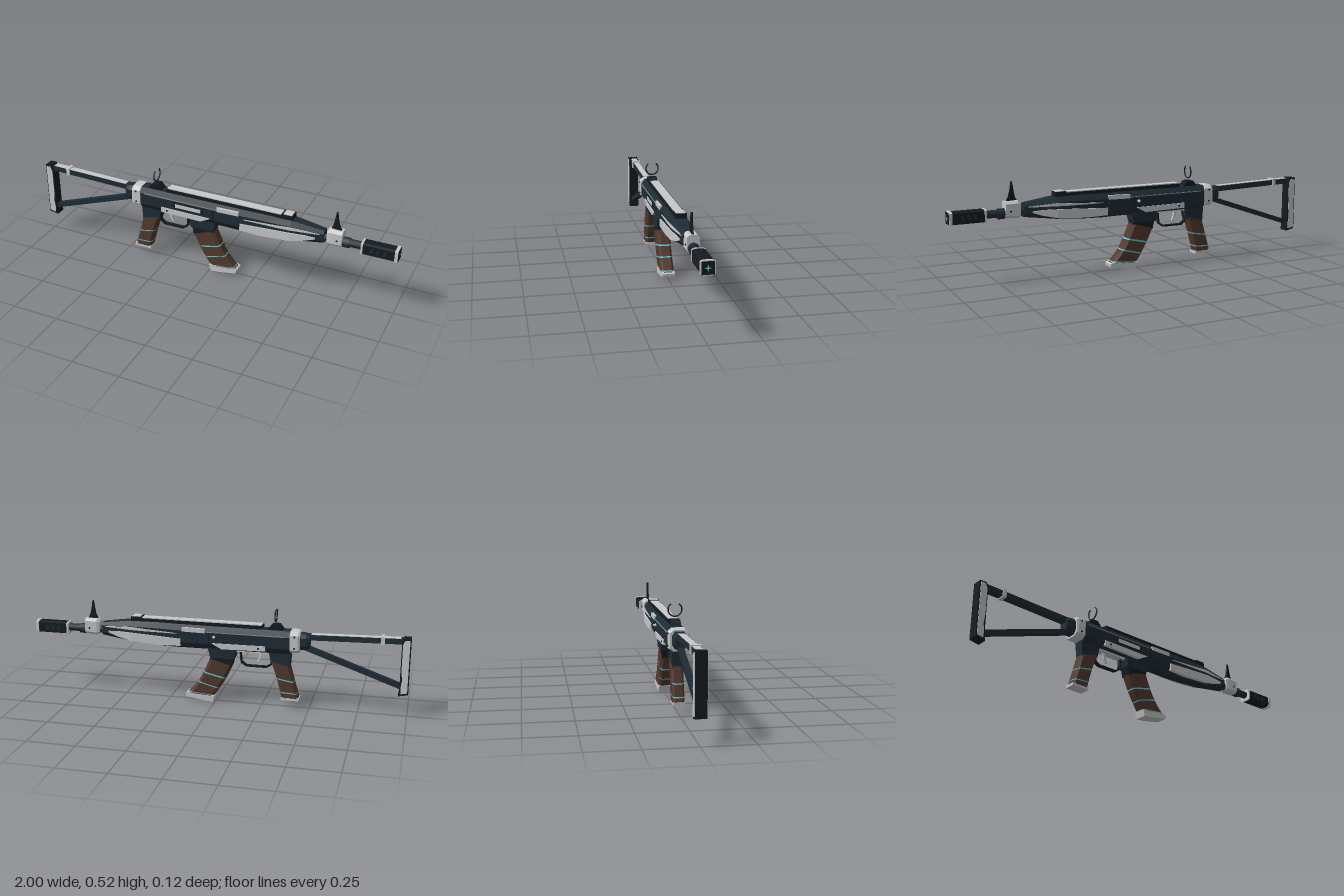
import * as THREE from 'three';

const mat = (name, color, side = THREE.FrontSide) => {
  const m = new THREE.MeshStandardMaterial({ color, side });
  m.name = name;
  return m;
};

export function createModel() {
  const navy = mat('navy metal', 0x1f2c35), black = mat('black metal', 0x141b20);
  const silver = mat('silver', 0xc6c8cb), grey = mat('grey line', 0x84898d);
  const brown = mat('brown wrap', 0x54392f), cyan = mat('cyan glow', 0x58d6da, THREE.DoubleSide);

  const model = new THREE.Group();
  model.name = 'rifle';
  model.position.z = 0.003;

  const add = (name, geo, material, x = 0, y = 0, z = 0) => {
    const m = new THREE.Mesh(geo, material);
    m.name = name;
    m.position.set(x, y, z);
    model.add(m);
    return m;
  };
  // box from its limits, centred on z unless given
  const box = (name, material, x0, x1, y0, y1, hw, z = 0) =>
    add(name, new THREE.BoxGeometry(x1 - x0, y1 - y0, hw * 2), material, (x0 + x1) / 2, (y0 + y1) / 2, z);
  // bar between two side-view points
  const bar = (name, material, a, b, h, hw) => {
    const dx = b[0] - a[0], dy = b[1] - a[1];
    const m = add(name, new THREE.BoxGeometry(Math.hypot(dx, dy), h, hw * 2), material, (a[0] + b[0]) / 2, (a[1] + b[1]) / 2);
    m.rotation.z = Math.atan2(dy, dx);
    return m;
  };
  // side-view outline extruded across z
  const plate = (name, material, pts, hw, z = 0) => {
    const geo = new THREE.ExtrudeGeometry(new THREE.Shape(pts.map(p => new THREE.Vector2(...p))), { depth: hw * 2, bevelEnabled: false });
    return add(name, geo.translate(0, 0, -hw), material, 0, 0, z);
  };
  // closed flat-faced skin through matching convex rings
  const loft = (name, material, rings) => {
    const tris = [], n = rings[0].length, last = rings.length - 1;
    for (let i = 0; i < last; i++) for (let j = 0; j < n; j++) {
      const k = (j + 1) % n, a = rings[i][j], b = rings[i][k], c = rings[i + 1][k], d = rings[i + 1][j];
      tris.push([a, b, c], [a, c, d]);
    }
    for (let j = 1; j < n - 1; j++) {
      tris.push([rings[0][0], rings[0][j + 1], rings[0][j]]);
      tris.push([rings[last][0], rings[last][j], rings[last][j + 1]]);
    }
    const v = p => new THREE.Vector3(...p);
    const volume = tris.reduce((s, [a, b, c]) => s + v(a).dot(v(b).cross(v(c))), 0);
    const pos = tris.flatMap(t => (volume < 0 ? [t[0], t[2], t[1]] : t)).flat();
    const geo = new THREE.BufferGeometry();
    geo.setAttribute('position', new THREE.Float32BufferAttribute(pos, 3));
    geo.computeVertexNormals();
    return add(name, geo, material);
  };
  // eight-sided cross-section at x
  const section = ([x, y0, y1, hw, cut = 0.24]) => {
    const c = (y1 - y0) * cut, t = hw * 0.6;
    return [[x, y0, t], [x, y0 + c, hw], [x, y1 - c, hw], [x, y1, t], [x, y1, -t], [x, y1 - c, -hw], [x, y0 + c, -hw], [x, y0, -t]];
  };
  // matching side panels from [x, low, high] stations
  const panels = (name, material, stations, width, out = 0.004) => {
    for (const s of [1, -1]) loft(name, material, stations.map(([x, lo, hi]) => {
      const w = width(x);
      return [[x, lo, s * (w - 0.015)], [x, lo, s * (w + out)], [x, hi, s * (w + out)], [x, hi, s * (w - 0.015)]];
    }));
  };

  // stock
  plate('buttPlate', black, [[-1, 0.125], [-0.95, 0.115], [-0.955, 0.15], [-0.955, 0.395], [-0.965, 0.418], [-1, 0.418]], 0.027);
  for (const s of [1, -1])
    plate('buttSide', silver, [[-0.995, 0.135], [-0.962, 0.128], [-0.96, 0.16], [-0.966, 0.2], [-0.96, 0.25], [-0.96, 0.385], [-0.97, 0.41], [-0.995, 0.41]], 0.002, s * 0.028);
  bar('upperStrut', navy, [-0.96, 0.401], [-0.47, 0.389], 0.028, 0.019);
  bar('upperStrutCover', silver, [-0.95, 0.413], [-0.5, 0.402], 0.008, 0.016);
  box('strutCollar', silver, -0.87, -0.85, 0.38, 0.42, 0.024);
  bar('lowerStrut', navy, [-0.965, 0.16], [-0.45, 0.34], 0.026, 0.014);
  loft('stockJoint', navy, [[-0.495, 0.335, 0.4, 0.028], [-0.475, 0.325, 0.405, 0.034], [-0.44, 0.32, 0.408, 0.036]].map(section));

  // receiver and fore-end
  loft('rearBlock', silver, [[-0.447, 0.312, 0.414, 0.045, 0.15], [-0.437, 0.307, 0.419, 0.05, 0.15], [-0.396, 0.307, 0.419, 0.05, 0.15]].map(section));
  loft('receiver', navy, [[-0.397, 0.297, 0.418, 0.046], [0.175, 0.295, 0.42, 0.048]].map(section));
  loft('foreEnd', navy, [[0.175, 0.293, 0.42, 0.046], [0.3, 0.297, 0.422, 0.046], [0.45, 0.308, 0.42, 0.046], [0.62, 0.33, 0.398, 0.027]].map(section));
  const bodyWidth = () => 0.047;
  const foreWidth = x => (x < 0.45 ? 0.046 : 0.046 - (x - 0.45) * 0.112);
  panels('lowerForePanel', silver, [[0.18, 0.307, 0.345], [0.3, 0.305, 0.352], [0.45, 0.315, 0.36], [0.53, 0.333, 0.361], [0.58, 0.35, 0.357]], foreWidth, 0.006);
  panels('upperForePanel', silver, [[0.2, 0.372, 0.374], [0.38, 0.373, 0.385], [0.45, 0.375, 0.391], [0.55, 0.377, 0.385], [0.6, 0.379, 0.381]], foreWidth);
  panels('lowerReceiverPanel', silver, [[-0.27, 0.309, 0.336], [-0.04, 0.305, 0.334], [0.01, 0.331, 0.334]], bodyWidth, 0.005);
  panels('upperReceiverPanel', silver, [[0.05, 0.384, 0.406], [0.172, 0.386, 0.408]], () => 0.044, 0.006);
  panels('receiverLine', grey, [[-0.37, 0.388, 0.392], [0.05, 0.388, 0.392]], bodyWidth, 0.002);
  panels('frontSeam', black, [[0.026, 0.325, 0.385], [0.032, 0.325, 0.385]], bodyWidth, 0.002);

  // ejection port on the front side, bolt handle on the other
  box('portFrame', black, -0.195, -0.03, 0.347, 0.38, 0.002, 0.049);
  box('portCover', silver, -0.185, -0.04, 0.353, 0.374, 0.002, 0.051);
  const bolt = add('boltHandle', new THREE.CylinderGeometry(0.004, 0.01, 0.02, 8), silver, 0, 0.366, -0.053);
  bolt.rotation.x = -Math.PI / 2;
  for (const s of [1, -1]) for (const [x, y, z] of [[-0.235, 0.322, 0.052], [-0.42, 0.335, 0.05], [-0.42, 0.395, 0.05], [0.69, 0.365, 0.03]])
    add('rivet', new THREE.CylinderGeometry(0.005, 0.005, 0.006, 8), black, x, y, s * z).rotation.x = Math.PI / 2;

  // top rail
  box('railBase', black, -0.25, 0.455, 0.412, 0.436, 0.028);
  box('railTop', silver, -0.245, 0.4, 0.436, 0.441, 0.022);
  box('railEnd', black, 0.395, 0.455, 0.43, 0.443, 0.028);
  box('railEndTop', silver, 0.405, 0.45, 0.443, 0.446, 0.024);

  // rear ring sight, open at the top
  plate('rearSightBase', black, [[-0.36, 0.412], [-0.275, 0.412], [-0.285, 0.43], [-0.3, 0.446], [-0.335, 0.446], [-0.35, 0.43]], 0.024);
  const ring = (name, material, start, arc, thick) => {
    const geo = new THREE.TorusGeometry(0.034, thick, 6, 24, arc).rotateZ(start).rotateY(Math.PI / 2);
    add(name, geo, material, -0.316, 0.494, 0);
  };
  const gap = 0.62;
  ring('rearSightRing', black, Math.PI / 2 + gap, Math.PI * 2 - gap * 2, 0.0035);
  ring('sightTip', cyan, Math.PI / 2 + gap - 0.06, 0.08, 0.0022);
  ring('sightTip', cyan, Math.PI / 2 - gap - 0.02, 0.08, 0.0022);

  // front sight
  loft('frontSightBlock', silver, [[0.635, 0.335, 0.405, 0.024, 0.15], [0.65, 0.328, 0.416, 0.03, 0.15], [0.715, 0.332, 0.414, 0.03, 0.15]].map(section));
  plate('frontSightSpike', black, [[0.648, 0.412], [0.705, 0.412], [0.692, 0.435], [0.683, 0.47], [0.677, 0.51], [0.672, 0.51], [0.666, 0.47], [0.66, 0.435]], 0.005);

  // barrel and muzzle
  add('barrel', new THREE.CylinderGeometry(0.02, 0.02, 0.24, 12), navy, 0.71, 0.355).rotation.z = Math.PI / 2;
  add('barrelCollar', new THREE.CylinderGeometry(0.027, 0.027, 0.035, 8), navy, 0.732, 0.353).rotation.z = Math.PI / 2;
  const muzzle = (name, material, x0, x1, h) => loft(name, material, [x0, x1].map(x => section([x, 0.353 - h, 0.353 + h, h, 0.09])));
  muzzle('muzzleBody', black, 0.82, 0.985, 0.031);
  muzzle('muzzleRim', silver, 0.812, 0.822, 0.033);
  muzzle('muzzleRim', silver, 0.981, 0.997, 0.034);
  box('muzzleFace', black, 0.99, 0.9985, 0.323, 0.383, 0.029);
  for (const s of [1, -1]) for (let i = 0; i < 3; i++) {
    const x = 0.855 + i * 0.032;
    plate('muzzleVent', navy, [[x, 0.34], [x + 0.015, 0.34], [x + 0.023, 0.366], [x + 0.008, 0.366]], 0.001, s * 0.0315);
  }
  const star = new THREE.Shape(Array.from({ length: 8 }, (_, i) => {
    const r = i % 2 ? 0.005 : 0.019, a = i * Math.PI / 4;
    return new THREE.Vector2(Math.cos(a) * r, Math.sin(a) * r);
  }));
  add('muzzleStar', new THREE.ShapeGeometry(star).rotateY(Math.PI / 2), cyan, 1, 0.353, 0);

  // wrapped grip and magazine, cut into slices along two edge curves
  const wrapped = (name, backPts, frontPts, hw, bands) => {
    const [back, front] = [backPts, frontPts].map(pts => new THREE.SplineCurve(pts.map(p => new THREE.Vector2(...p))));
    const slice = (part, material, t0, t1, grow, steps) => {
      const rings = Array.from({ length: steps + 1 }, (_, i) => {
        const t = t0 + (t1 - t0) * i / steps, a = back.getPoint(t), b = front.getPoint(t), h = hw + grow;
        return [[0, 0.65], [0.12, 1], [0.88, 1], [1, 0.65], [1, -0.65], [0.88, -1], [0.12, -1], [0, -0.65]].map(([u, w]) =>
          [a.x + (b.x - a.x) * u + (u - 0.5) * grow * 2, a.y + (b.y - a.y) * u, w * h]);
      });
      loft(part, material, rings);
    };
    const half = 0.018;
    let from = 0;
    for (const t of [...bands, 1 + half]) {
      slice(name + 'Wrap', brown, from, t - half, 0.002, 4);
      if (t < 1) slice(name + 'Band', cyan, t - half, t + half, 0, 1);
      from = t + half;
    }
  };
  wrapped('grip', [[-0.395, 0.225], [-0.42, 0.135], [-0.443, 0.055]], [[-0.3, 0.25], [-0.333, 0.15], [-0.357, 0.055]], 0.027, [0.45, 0.8]);
  wrapped('magazine', [[-0.09, 0.21], [-0.056, 0.136], [-0.02, 0.075], [0.006, 0.036]], [[0.025, 0.243], [0.06, 0.163], [0.093, 0.105], [0.145, 0.045]], 0.031, [0.32, 0.63, 0.95]);

  plate('gripNeck', navy, [[-0.4, 0.3], [-0.395, 0.215], [-0.298, 0.24], [-0.285, 0.3]], 0.025);
  plate('gripCap', silver, [[-0.448, 0.058], [-0.447, 0.044], [-0.354, 0.042], [-0.354, 0.058]], 0.029);
  plate('magazineWell', navy, [[-0.115, 0.3], [-0.105, 0.25], [0.022, 0.25], [0.035, 0.3]], 0.037);
  plate('magazineNeck', black, [[-0.1, 0.255], [-0.09, 0.205], [0.025, 0.238], [0.02, 0.255]], 0.029);
  plate('magazineFoot', silver, [[0, 0.038], [0.01, 0.003], [0.06, 0.007], [0.155, 0.024], [0.157, 0.04], [0.14, 0.048]], 0.033);

  // trigger group
  box('triggerPlate', silver, -0.285, -0.115, 0.288, 0.299, 0.022);
  const guard = [[-0.297, 0.29], [-0.297, 0.228], [-0.272, 0.211], [-0.165, 0.211], [-0.138, 0.23], [-0.132, 0.29]];
  guard.slice(1).forEach((p, i) => bar('triggerGuard', black, guard[i], p, 0.008, 0.01));
  plate('trigger', silver, [[-0.25, 0.292], [-0.232, 0.292], [-0.229, 0.26], [-0.218, 0.237], [-0.226, 0.235], [-0.24, 0.258]], 0.006);

  // y settles on the ground
  model.position.y = -0.003;
  const root = new THREE.Group();
  root.name = 'model';
  root.add(model);
  return root;
}
